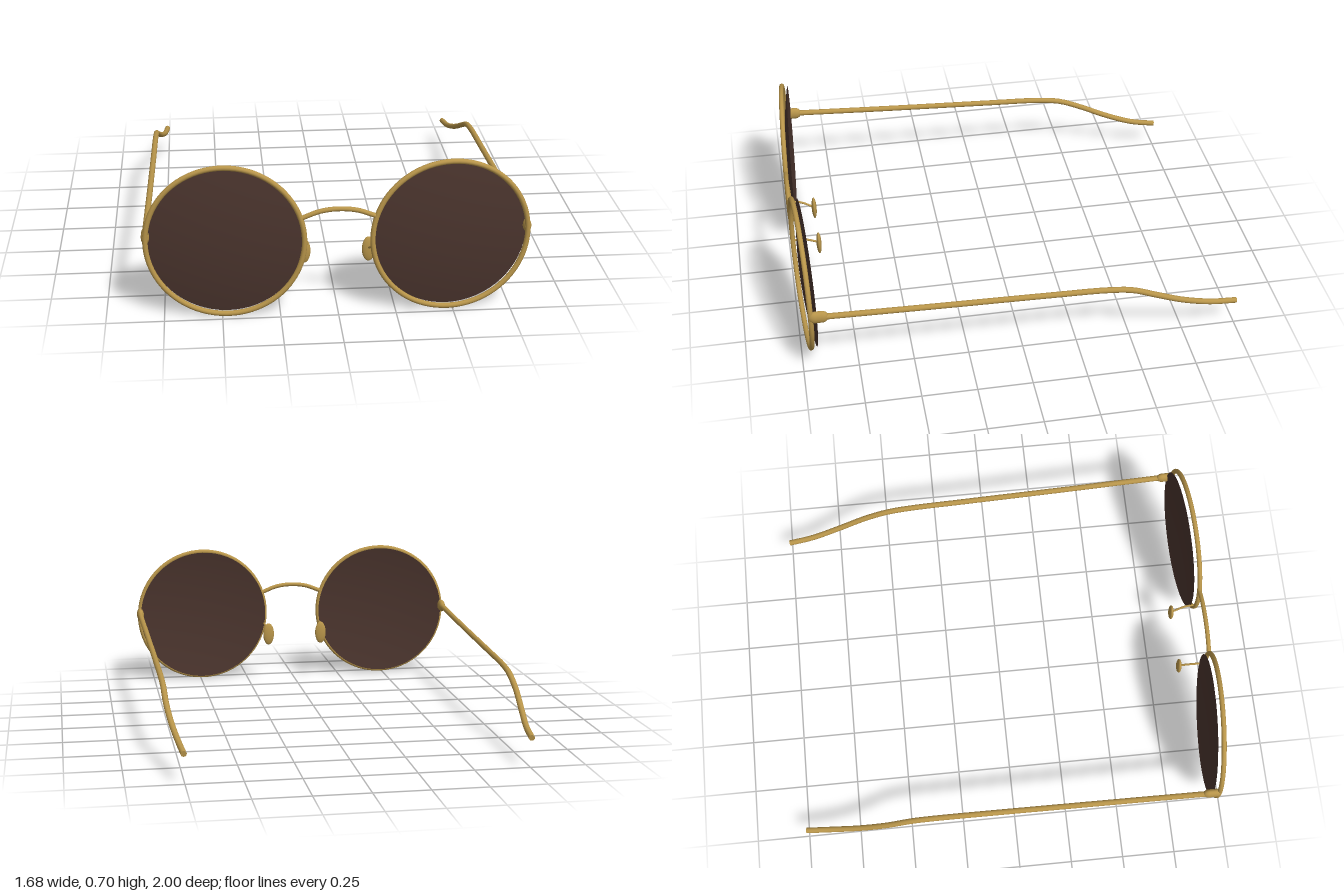
import * as THREE from 'three';

const V = (x, y, z) => new THREE.Vector3(x, y, z);

export function createModel() {
  const gold = new THREE.MeshStandardMaterial({ name: 'gold metal', color: 0xb8954a });
  const brown = new THREE.MeshStandardMaterial({ name: 'brown lens', color: 0x4a342d, side: THREE.DoubleSide });

  const model = new THREE.Group();
  model.name = 'sunglasses';

  const add = (parent, name, geometry, material) => {
    const mesh = new THREE.Mesh(geometry, material);
    mesh.name = name;
    parent.add(mesh);
    return mesh;
  };

  // Round wire along a smooth path, with flat end caps
  const addWire = (name, points, radius, segments) => {
    const curve = new THREE.CatmullRomCurve3(points, false, 'centripetal');
    const wire = new THREE.Group();
    wire.name = name;
    model.add(wire);
    add(wire, name + 'Wire', new THREE.TubeGeometry(curve, segments, radius, 12), gold);
    for (const t of [0, 1]) {
      const cap = add(wire, name + 'Cap', new THREE.CircleGeometry(radius, 12), gold);
      const direction = curve.getTangent(t).multiplyScalar(t ? 1 : -1);
      cap.position.copy(curve.getPoint(t));
      cap.quaternion.setFromUnitVectors(V(0, 0, 1), direction);
    }
  };

  // Shallow domed lens: a spherical cap with its edge behind the rim
  const lensRadius = 0.336, sag = 0.03;
  const sphere = (lensRadius ** 2 + sag ** 2) / (2 * sag);
  const lensGeometry = new THREE.SphereGeometry(sphere, 64, 10, 0, Math.PI * 2, 0, Math.asin(lensRadius / sphere));
  lensGeometry.rotateX(Math.PI / 2).translate(0, 0, -sphere + 0.003);

  for (const [side, s] of [['left', 1], ['right', -1]]) {
    // Rim and lens, turned slightly outward
    const eye = new THREE.Group();
    eye.name = side + 'Eye';
    eye.position.set(s * 0.483, 0.35, 0.969);
    eye.rotation.y = s * 0.054;
    model.add(eye);
    add(eye, side + 'Rim', new THREE.TorusGeometry(0.338, 0.0115, 12, 80), gold);
    add(eye, side + 'Lens', lensGeometry, brown);

    // Flattened rounded hinge block
    const hinge = add(model, side + 'Hinge', new THREE.CapsuleGeometry(0.03, 0.03, 8, 20), gold);
    hinge.geometry.rotateX(Math.PI / 2);
    hinge.scale.x = 0.6;
    hinge.position.set(s * 0.82, 0.367, 0.917);

    // Temple arm with the drooping ear tip
    addWire(side + 'Temple', [
      V(s * 0.821, 0.367, 0.9), V(s * 0.812, 0.347, 0.4), V(s * 0.804, 0.329, -0.1),
      V(s * 0.8, 0.317, -0.38), V(s * 0.798, 0.3, -0.49), V(s * 0.795, 0.252, -0.61),
      V(s * 0.782, 0.195, -0.74), V(s * 0.764, 0.15, -0.88), V(s * 0.753, 0.133, -1),
    ], 0.0135, 60);

    // Nose pad on a thin arm
    addWire(side + 'PadArm', [
      V(s * 0.154, 0.29, 0.982), V(s * 0.15, 0.284, 0.93), V(s * 0.141, 0.255, 0.868),
    ], 0.005, 12);
    const pad = add(model, side + 'NosePad', new THREE.SphereGeometry(1, 24, 16), gold);
    pad.scale.set(0.029, 0.058, 0.012);
    pad.position.set(s * 0.141, 0.249, 0.866);
  }

  // Arched bridge
  addWire('bridge', [
    V(-0.155, 0.458, 0.986), V(-0.08, 0.486, 0.987), V(0, 0.495, 0.987),
    V(0.08, 0.486, 0.987), V(0.155, 0.458, 0.986),
  ], 0.0105, 32);

  return model;
}
